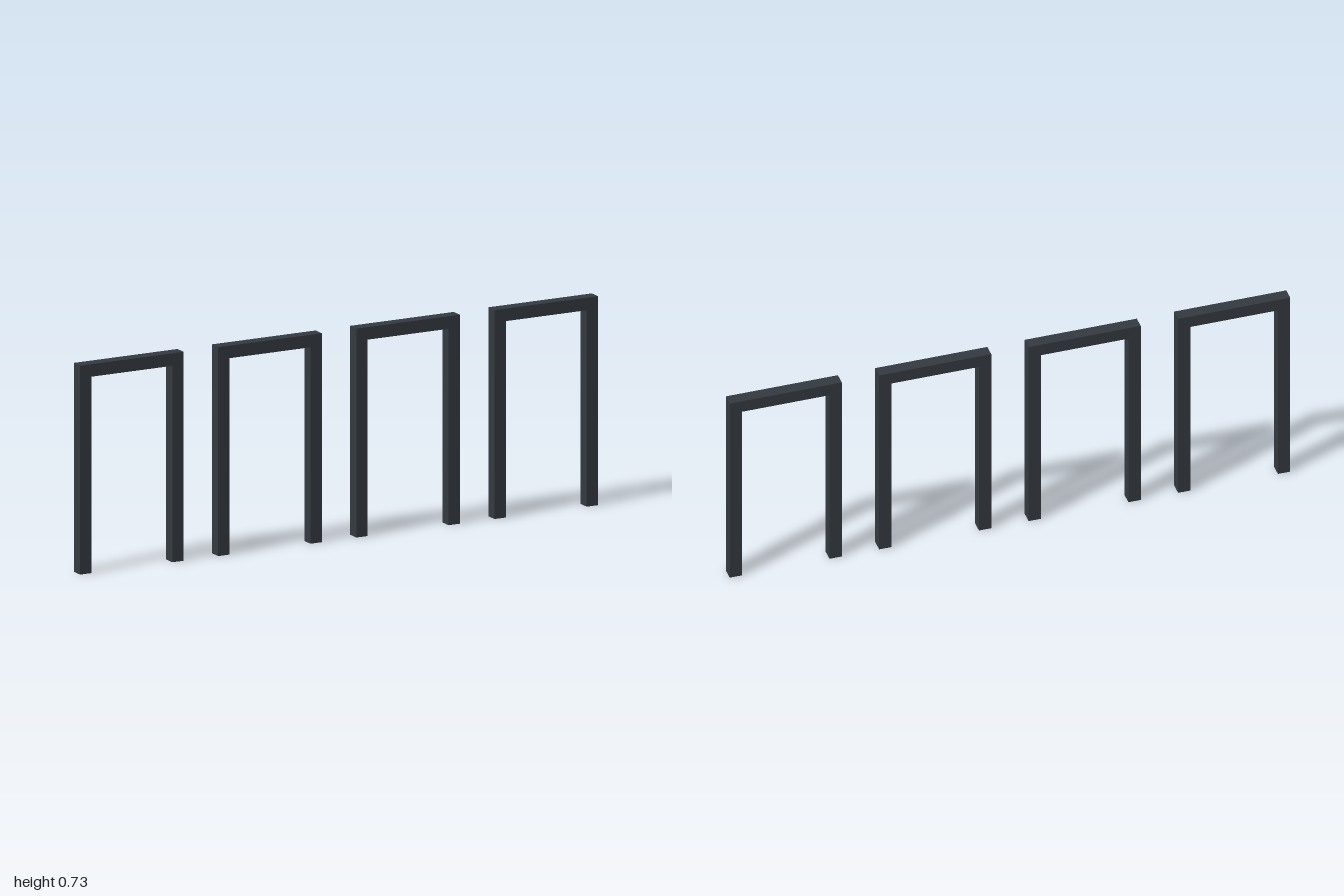
import * as THREE from 'three';

const WIDTH = 0.4, HEIGHT = 0.733, BAR = 0.044;

// One square-section hoop: two legs joined by a top bar, standing on y = 0
function hoopGeometry() {
  const o = WIDTH / 2, i = o - BAR, top = HEIGHT - BAR;
  const shape = new THREE.Shape([
    [-o, 0], [-i, 0], [-i, top], [i, top], [i, 0], [o, 0], [o, HEIGHT], [-o, HEIGHT],
  ].map(([x, y]) => new THREE.Vector2(x, y)));
  const geometry = new THREE.ExtrudeGeometry(shape, { depth: BAR, bevelEnabled: false });
  return geometry.translate(0, 0, -BAR / 2);
}

export function createModel() {
  const model = new THREE.Group();
  model.name = 'hoopRow';
  const darkSteel = new THREE.MeshStandardMaterial({ color: 0x343a40 });
  darkSteel.name = 'darkSteel';

  // Four evenly spaced hoops in a line
  const geometry = hoopGeometry();
  const count = 4, spacing = (2 - WIDTH) / (count - 1);
  for (let n = 0; n < count; n++) {
    const hoop = new THREE.Mesh(geometry, darkSteel);
    hoop.name = `hoop${n + 1}`;
    hoop.position.x = (n - (count - 1) / 2) * spacing;
    model.add(hoop);
  }
  return model;
}
